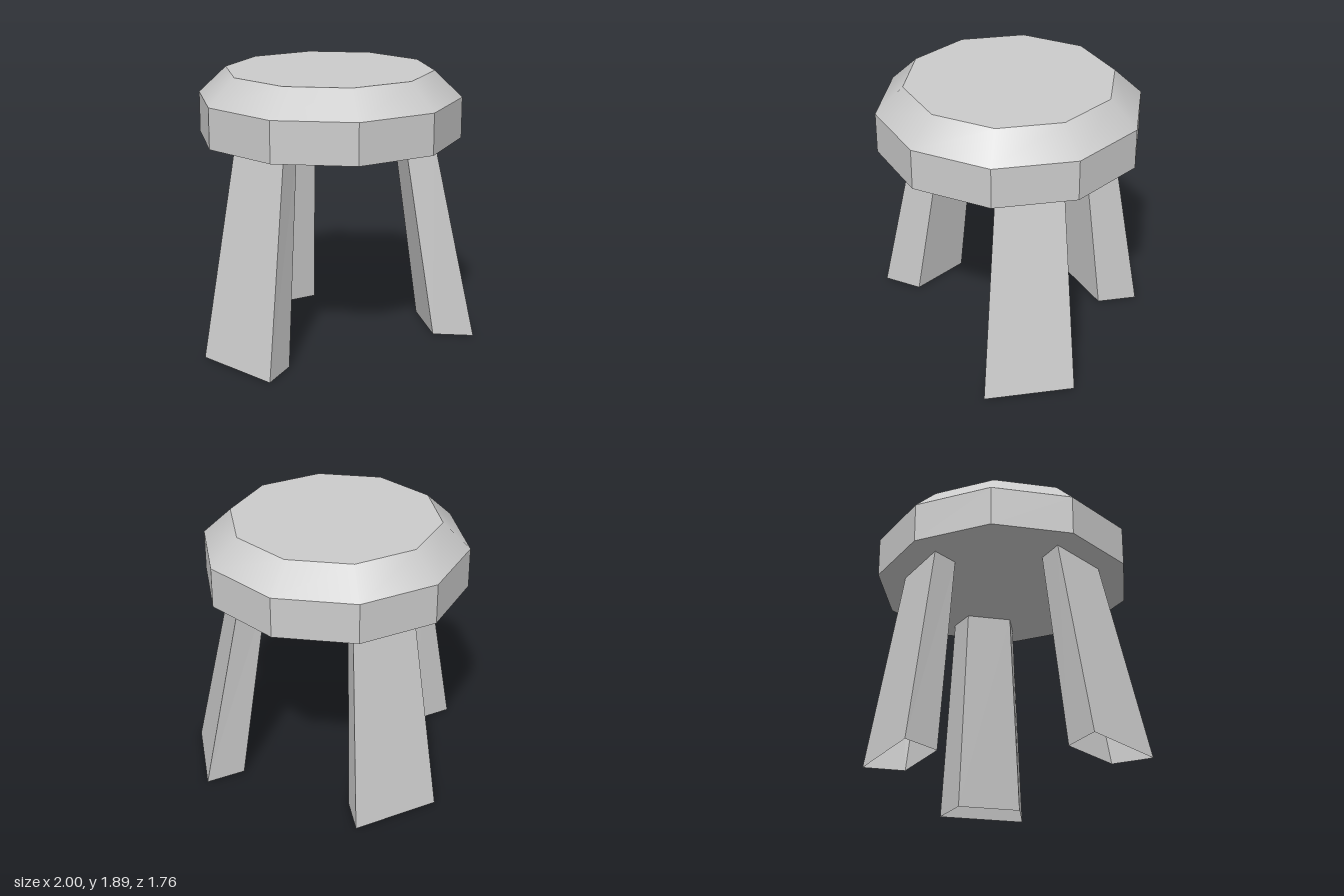
import * as THREE from 'three';

const SIDES = 10;
const START = Math.PI / 2; // puts seat corners on the x axis

const smooth = new THREE.MeshStandardMaterial({ color: 0xcccccc });
const flat = new THREE.MeshStandardMaterial({ color: 0xcccccc, flatShading: true });
const open = new THREE.MeshStandardMaterial({ color: 0xcccccc, flatShading: true, side: THREE.DoubleSide });

function part(name, geometry, material, y = 0) {
  const mesh = new THREE.Mesh(geometry, material);
  mesh.name = name;
  mesh.position.y = y;
  return mesh;
}

// Open four-sided tube: local +z points outward, wide outer face at z = 0.
// The top section is smaller and shifted by (shiftX, shiftZ).
function legGeometry(height, shiftX, shiftZ) {
  const section = (outer, inner, depth, y, dx, dz) => [
    [-outer + dx, y, dz], [outer + dx, y, dz],
    [inner + dx, y, dz - depth], [-inner + dx, y, dz - depth],
  ];
  const bottom = section(0.31, 0.225, 0.27, 0, 0, 0);
  const top = section(0.225, 0.16, 0.19, height, shiftX, shiftZ);
  const positions = [];
  for (let i = 0; i < 4; i++) {
    const j = (i + 1) % 4;
    positions.push(...bottom[i], ...bottom[j], ...top[j], ...bottom[i], ...top[j], ...top[i]);
  }
  const geometry = new THREE.BufferGeometry();
  geometry.setAttribute('position', new THREE.Float32BufferAttribute(positions, 3));
  geometry.computeVertexNormals();
  return geometry;
}

function leg(name, x, z, degrees, shiftX, shiftZ) {
  const mesh = part(name, legGeometry(1.43, shiftX, shiftZ), open);
  mesh.position.set(x, 0, z);
  mesh.rotation.y = THREE.MathUtils.degToRad(degrees);
  return mesh;
}

export function createModel() {
  const model = new THREE.Group();
  model.name = 'stool';

  // Ten-sided seat: faceted rim, softly shaded bevel, flat top and underside
  const seat = new THREE.Group();
  seat.name = 'seat';
  seat.position.z = 0.015;
  const bevel = new THREE.CylinderGeometry(0.715, 0.905, 0.18, SIDES, 1, true, START);
  const rim = new THREE.CylinderGeometry(0.905, 0.905, 0.28, SIDES, 1, true, START);
  const top = new THREE.CircleGeometry(0.715, SIDES).rotateX(-Math.PI / 2);
  const underside = new THREE.CircleGeometry(0.905, SIDES).rotateX(Math.PI / 2);
  seat.add(
    part('seatRim', rim, flat, 1.57),
    part('seatBevel', bevel, smooth, 1.8),
    part('seatTop', top, flat, 1.89),
    part('seatUnderside', underside, flat, 1.43),
  );
  model.add(seat);

  // Three splayed, tapering legs
  model.add(leg('backLeg', 0, -0.88, 180, 0, -0.22));
  for (const s of [1, -1]) {
    model.add(leg(s > 0 ? 'leftLeg' : 'rightLeg', s * 0.905, 0.36, s * 72, s * 0.049, -0.284));
  }
  return model;
}
